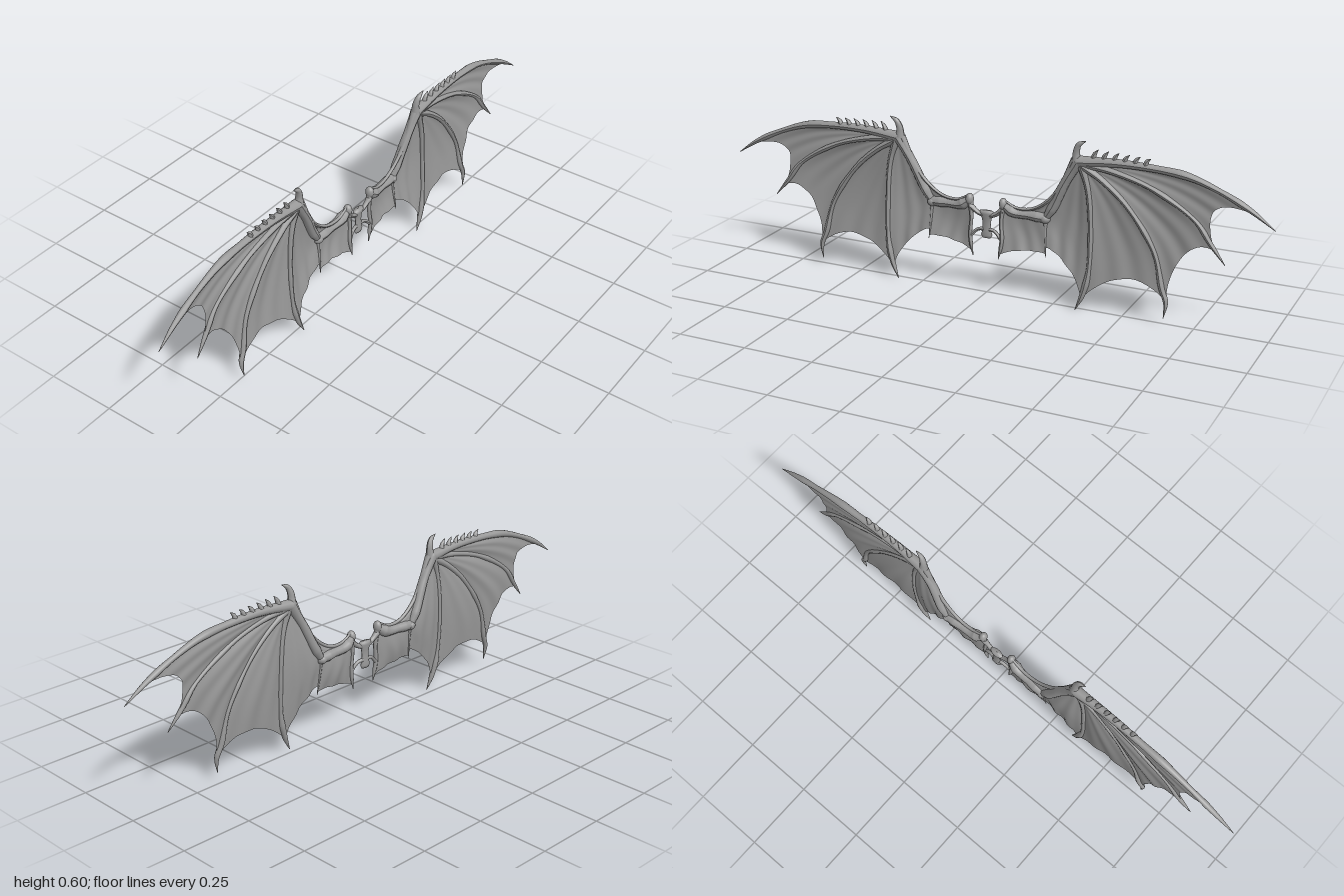
import * as THREE from 'three';

const skin = new THREE.MeshStandardMaterial({ color: 0x999999, side: THREE.DoubleSide });
skin.name = 'grey skin';

const curveOf = (pts, side) =>
  new THREE.CatmullRomCurve3(pts.map(([x, y, z]) => new THREE.Vector3(x * side, y, z)), false, 'centripetal');

// Straight-line interpolation through evenly spaced values
function sample(list, t) {
  const f = t * (list.length - 1);
  const i = Math.min(Math.floor(f), list.length - 2);
  return THREE.MathUtils.lerp(list[i], list[i + 1], f - i);
}

function addMesh(parent, geometry, name) {
  const mesh = new THREE.Mesh(geometry, skin);
  mesh.name = name;
  parent.add(mesh);
  return mesh;
}

// Tube whose thickness follows a list of radii
function bone(curve, radii, segments = 40, sides = 10) {
  const geo = new THREE.TubeGeometry(curve, segments, 1, sides);
  const pos = geo.attributes.position;
  const v = new THREE.Vector3();
  for (let i = 0; i <= segments; i++) {
    const centre = curve.getPointAt(i / segments);
    const r = sample(radii, i / segments);
    for (let j = 0; j <= sides; j++) {
      const k = i * (sides + 1) + j;
      v.fromBufferAttribute(pos, k).sub(centre).multiplyScalar(r).add(centre);
      pos.setXYZ(k, v.x, v.y, v.z);
    }
  }
  geo.computeVertexNormals();
  return geo;
}

// Skin stretched between two curves, with a scalloped free edge and soft folds
function membrane(a, b, { scallop = 0, billow = 0, seed = 0 }) {
  const nu = 28, nt = 32, points = [], index = [];
  for (let i = 0; i <= nt; i++) {
    for (let j = 0; j <= nu; j++) {
      const u = j / nu;
      const arch = 4 * u * (1 - u);
      const t = (i / nt) * (0.93 + 0.07 * Math.min(1, scallop ? 0 : 1)) * (1 - scallop * Math.pow(arch, 0.55));
      const p = a.getPointAt(t).lerp(b.getPointAt(t), u);
      p.z -= arch * (billow * Math.sin(Math.PI * Math.min(1, t * 1.1))
        + billow * 0.3 * Math.sin(u * 17 + t * 5 + seed) * t);
      points.push(p.x, p.y, p.z);
      if (i < nt && j < nu) {
        const k = i * (nu + 1) + j;
        index.push(k, k + nu + 1, k + 1, k + 1, k + nu + 1, k + nu + 2);
      }
    }
  }
  const geo = new THREE.BufferGeometry();
  geo.setAttribute('position', new THREE.Float32BufferAttribute(points, 3));
  geo.setIndex(index);
  geo.computeVertexNormals();
  return geo;
}

// Finger paths from the wrist to the claw tips
const FINGERS = [
  [[0.335, 0.525, 0.005], [0.46, 0.536, 0.005], [0.6, 0.534, 0.002], [0.71, 0.522, 0], [0.82, 0.485, 0], [0.92, 0.437, 0.002], [1, 0.385, 0.005]],
  [[0.345, 0.52, 0.006], [0.47, 0.502, 0.006], [0.6, 0.46, 0.002], [0.74, 0.375, 0], [0.795, 0.305, 0.003], [0.845, 0.245, 0.008]],
  [[0.345, 0.515, 0.006], [0.42, 0.47, 0.006], [0.51, 0.39, 0.004], [0.605, 0.25, 0.004], [0.638, 0.13, 0.01], [0.655, 0.085, 0.014], [0.65, 0.03, 0.018]],
  [[0.345, 0.515, 0.006], [0.37, 0.43, 0.006], [0.382, 0.3, 0.006], [0.38, 0.14, 0.012], [0.362, 0.06, 0.016], [0.338, 0.003, 0.02]],
];
const FINGER_RADII = [
  [0.02, 0.016, 0.014, 0.013, 0.012, 0.014, 0.011, 0.009, 0.011, 0.007, 0.001],
  [0.015, 0.011, 0.01, 0.009, 0.008, 0.01, 0.008, 0.007, 0.01, 0.007, 0.001],
  [0.015, 0.011, 0.01, 0.009, 0.008, 0.01, 0.008, 0.008, 0.011, 0.009, 0.001],
  [0.015, 0.01, 0.009, 0.009, 0.008, 0.009, 0.008, 0.008, 0.012, 0.009, 0.001],
];

function createWing(side) {
  const wing = new THREE.Group();
  wing.name = side > 0 ? 'leftWing' : 'rightWing';
  const curve = (pts) => curveOf(pts, side);

  // Fingers
  const fingers = FINGERS.map(curve);
  fingers.forEach((f, i) => addMesh(wing, bone(f, FINGER_RADII[i], 56), 'finger' + (i + 1)));

  // Upper arm and forearm
  const shoulder = [0.062, 0.335, 0.002], elbow = [0.215, 0.305, -0.01], wrist = [0.335, 0.525, 0.005];
  const upperArm = curve([shoulder, [0.1, 0.312, -0.004], [0.16, 0.308, -0.008], elbow]);
  const forearm = curve([elbow, [0.245, 0.355, -0.008], [0.285, 0.44, 0], wrist]);
  addMesh(wing, bone(upperArm, [0.012, 0.021, 0.017, 0.016, 0.019, 0.016]), 'upperArm');
  addMesh(wing, bone(forearm, [0.012, 0.018, 0.017, 0.017, 0.016, 0.017, 0.02]), 'forearm');

  // Joint knobs
  for (const [name, x, y, z, rx, ry, rz] of [
    ['shoulderKnob', 0.063, 0.337, 0.003, 0.014, 0.021, 0.016],
    ['elbowKnob', 0.213, 0.303, -0.01, 0.019, 0.017, 0.019],
    ['wristKnob', 0.335, 0.523, 0.005, 0.023, 0.022, 0.018],
  ]) {
    const knob = addMesh(wing, new THREE.SphereGeometry(1, 16, 12), name);
    knob.position.set(x * side, y, z);
    knob.scale.set(rx, ry, rz);
  }

  // Wrist claw
  addMesh(wing, bone(curve([[0.328, 0.525, 0.006], [0.328, 0.56, 0.008], [0.338, 0.585, 0.012], [0.362, 0.599, 0.014]]),
    [0.017, 0.013, 0.011, 0.008, 0.001], 20), 'wristClaw');

  // Spikes along the leading edge
  for (let i = 0; i < 6; i++) {
    const x = 0.385 + i * 0.036, h = 0.574 - i * 0.0015;
    addMesh(wing, bone(curve([[x, 0.54, 0.004], [x + 0.005, 0.556, 0.005], [x + 0.018, h, 0.006]]),
      [0.01, 0.007, 0.001], 8, 8), 'edgeSpike');
  }

  // Skin panels between the fingers
  const scallops = [0.2, 0.15, 0.17], billows = [0.008, 0.012, 0.012];
  for (let i = 0; i < 3; i++) {
    addMesh(wing, membrane(fingers[i], fingers[i + 1],
      { scallop: scallops[i], billow: billows[i], seed: i * 2 }), 'fingerMembrane');
  }

  // Inner panel, from the last finger to the forearm and elbow
  const innerLine = curve([wrist, [0.285, 0.44, 0], [0.245, 0.355, -0.008], elbow, [0.216, 0.25, -0.004], [0.222, 0.17, 0.005]]);
  addMesh(wing, membrane(fingers[3], innerLine, { scallop: 0.1, billow: 0.013, seed: 5 }), 'innerMembrane');

  // Root panel, from the elbow to the body side
  const elbowLine = curve([elbow, [0.216, 0.25, -0.004], [0.222, 0.17, 0.005]]);
  const rootLine = curve([shoulder, [0.056, 0.27, 0.006], [0.06, 0.21, 0.008], [0.048, 0.135, 0.01]]);
  addMesh(wing, membrane(elbowLine, rootLine, { scallop: 0.1, billow: 0.012, seed: 3 }), 'rootMembrane');
  addMesh(wing, bone(rootLine, [0.012, 0.008, 0.007, 0.008, 0.007, 0.001], 30, 8), 'rootEdge');
  addMesh(wing, bone(elbowLine, [0.01, 0.005, 0.004, 0.003, 0.001], 20, 8), 'elbowVein');

  // Leading skin fold in front of the arm
  const armLine = curve([shoulder, [0.13, 0.31, -0.006], elbow, [0.255, 0.375, -0.006], [0.29, 0.45, 0], wrist]);
  const leadLine = curve([[0.064, 0.352, 0.002], [0.11, 0.329, 0], [0.17, 0.334, -0.002], [0.235, 0.38, 0], [0.282, 0.45, 0.004], [0.32, 0.53, 0.006]]);
  addMesh(wing, membrane(armLine, leadLine, { billow: 0.004 }), 'leadingMembrane');
  addMesh(wing, bone(leadLine, [0.004, 0.006, 0.006, 0.007, 0.009, 0.012], 36, 8), 'leadingEdge');

  // Links to the centre piece
  addMesh(wing, bone(curve([[0.01, 0.286, 0], [0.03, 0.292, 0.002], [0.062, 0.315, 0.003]]),
    [0.009, 0.008, 0.009, 0.012], 16, 8), 'upperLink');
  addMesh(wing, bone(curve([[0.01, 0.236, 0], [0.032, 0.232, 0.003], [0.058, 0.208, 0.008]]),
    [0.007, 0.006, 0.006, 0.007], 16, 8), 'lowerLink');
  return wing;
}

export function createModel() {
  const model = new THREE.Group();
  model.name = 'batWings';
  model.add(createWing(1), createWing(-1));

  // Centre piece joining the wings
  const profile = [[0, 0.203], [0.016, 0.205], [0.021, 0.215], [0.017, 0.23], [0.015, 0.255],
    [0.018, 0.275], [0.026, 0.292], [0.025, 0.302], [0, 0.305]];
  const hub = addMesh(model, new THREE.LatheGeometry(profile.map(([x, y]) => new THREE.Vector2(x, y)), 20), 'centreHub');
  hub.scale.z = 0.45;
  return model;
}
